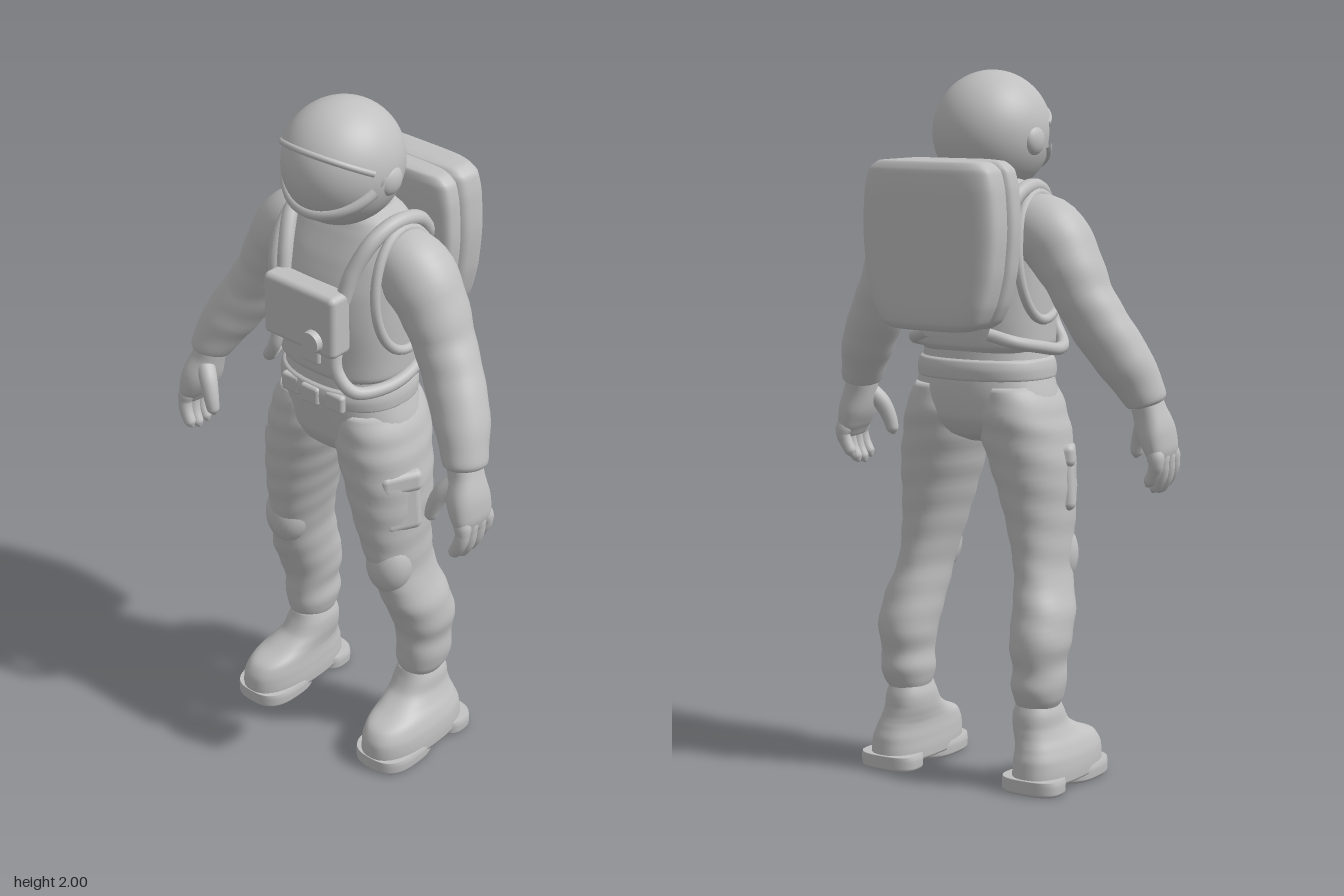
import * as THREE from 'three';
import { RoundedBoxGeometry } from 'three/addons/geometries/RoundedBoxGeometry.js';

const V = (a) => new THREE.Vector3(a[0], a[1], a[2]);

// Smooth skin over sections [x, y, z, halfWidth, halfDepth], listed from the top down.
// flat keeps rings level, p squares off the cross-section, ripple adds cloth folds.
function loft(sections, { n = 40, steps = 5, p = 2, flat = true, ripple = 0 } = {}) {
  const path = new THREE.CatmullRomCurve3(sections.map(V));
  const size = new THREE.CatmullRomCurve3(sections.map((s) => new THREE.Vector3(s[3], s[4], 0)));
  const rings = (sections.length - 1) * steps;
  const pos = [], idx = [];
  const Z = new THREE.Vector3(0, 0, 1);
  const bend = (c) => Math.sign(c) * Math.abs(c) ** (2 / p);
  for (let i = 0; i <= rings; i++) {
    const t = i / rings, c = path.getPoint(t), r = size.getPoint(t);
    const T = flat ? new THREE.Vector3(0, -1, 0) : path.getTangent(t);
    const side = new THREE.Vector3().crossVectors(Z, T).normalize();
    const depth = new THREE.Vector3().crossVectors(T, side);
    for (let j = 0; j < n; j++) {
      const a = (j / n) * Math.PI * 2;
      const k = 1 + ripple * Math.sin(c.y * 75 + 2 * Math.sin(a + 1));
      const q = c.clone().addScaledVector(side, bend(Math.cos(a)) * r.x * k)
        .addScaledVector(depth, bend(Math.sin(a)) * r.y * k);
      pos.push(q.x, q.y, q.z);
      if (i < rings) {
        const A = i * n + j, B = i * n + (j + 1) % n;
        idx.push(A, B, A + n, B, B + n, A + n);
      }
    }
  }
  const top = pos.length / 3, last = rings * n;
  pos.push(...sections[0].slice(0, 3), ...sections[sections.length - 1].slice(0, 3));
  for (let j = 0; j < n; j++) {
    const k = (j + 1) % n;
    idx.push(top, k, j, top + 1, last + j, last + k);
  }
  const g = new THREE.BufferGeometry();
  g.setAttribute('position', new THREE.Float32BufferAttribute(pos, 3));
  g.setIndex(idx);
  g.computeVertexNormals();
  return g;
}

const tube = (pts, r, closed = false) =>
  new THREE.TubeGeometry(new THREE.CatmullRomCurve3(pts.map(V), closed), 48, r, 12, closed);

const ball = (x, y, z, a, b, c) => new THREE.SphereGeometry(1, 32, 24).scale(a, b, c).translate(x, y, z);

const box = (x, y, z, w, h, d, r) => new RoundedBoxGeometry(w, h, d, 4, r).translate(x, y, z);

// Copy across x = 0 with the triangle order reversed
function mirrored(geo) {
  const g = geo.clone().scale(-1, 1, 1);
  if (!g.index) g.setIndex([...Array(g.attributes.position.count).keys()]);
  const a = g.index.array;
  for (let i = 0; i < a.length; i += 3) [a[i], a[i + 1]] = [a[i + 1], a[i]];
  return g;
}

export function createModel() {
  const model = new THREE.Group();
  model.name = 'astronaut';
  const suit = new THREE.MeshStandardMaterial({ color: 0xc0c0c0 });
  suit.name = 'suit grey';
  const add = (name, geo) => {
    const m = new THREE.Mesh(geo, suit);
    m.name = name;
    model.add(m);
  };
  const pair = (name, geo) => {
    add('left ' + name, geo);
    add('right ' + name, mirrored(geo));
  };

  // Helmet: shell open at the visor, poles at the ears
  const C = [0, 1.828, 0.082], R = [0.163, 0.172, 0.178];
  const lune = (start, len, k) => new THREE.SphereGeometry(1, 64, 40, start, len)
    .rotateZ(-Math.PI / 2).scale(R[0] * k, R[1] * k, R[2] * k).translate(...C);
  const upper = 1.08, lower = 2.2;
  add('helmet shell', lune(lower, Math.PI * 2 - (lower - upper), 1));
  add('visor', lune(0, Math.PI * 2, 0.955));
  const rim = (phi, k) => Array.from({ length: 15 }, (_, i) => {
    const th = 0.3 + (i / 14) * (Math.PI - 0.6);
    return [C[0] + R[0] * k * Math.cos(th), C[1] + R[1] * k * Math.cos(phi) * Math.sin(th),
      C[2] + R[2] * k * Math.sin(phi) * Math.sin(th)];
  });
  add('visor brim', tube(rim(upper, 0.975), 0.009));
  add('chin guard', tube(rim(lower + 0.04, 0.965), 0.016));
  pair('ear pod', ball(0.148, 1.808, 0.06, 0.024, 0.042, 0.042));

  // Torso
  add('neck', loft([[0, 1.76, 0.04, 0.1, 0.1], [0, 1.7, 0.03, 0.105, 0.095], [0, 1.64, 0.03, 0.12, 0.1]]));
  add('vest', loft([
    [0, 1.705, 0.025, 0.1, 0.08], [0, 1.685, 0.027, 0.145, 0.095], [0, 1.65, 0.03, 0.18, 0.11],
    [0, 1.58, 0.037, 0.2, 0.138], [0, 1.5, 0.047, 0.2, 0.157], [0, 1.4, 0.052, 0.2, 0.162],
    [0, 1.3, 0.05, 0.197, 0.16], [0, 1.245, 0.052, 0.195, 0.157], [0, 1.225, 0.053, 0.175, 0.14],
  ], { p: 2.5 }));
  add('hips', loft([
    [0, 1.25, 0.055, 0.178, 0.142], [0, 1.17, 0.055, 0.19, 0.152], [0, 1.1, 0.05, 0.212, 0.152],
    [0, 1.04, 0.05, 0.222, 0.145], [0, 0.99, 0.055, 0.15, 0.115], [0, 0.965, 0.055, 0.05, 0.06],
  ], { p: 2.3 }));
  add('belt', loft([
    [0, 1.207, 0.055, 0.18, 0.145], [0, 1.2, 0.055, 0.193, 0.157], [0, 1.175, 0.055, 0.199, 0.163],
    [0, 1.15, 0.055, 0.199, 0.16], [0, 1.142, 0.055, 0.185, 0.145],
  ], { p: 2.3 }));
  for (const x of [-0.08, 0, 0.08]) {
    add('belt buckle', box(x, 1.17, 0.212 - Math.abs(x) * 0.13, 0.065, 0.055, 0.025, 0.01));
  }
  add('chest tab', box(0, 1.3, 0.208, 0.07, 0.06, 0.025, 0.01));

  // Chest control box
  add('chest box', box(0, 1.43, 0.225, 0.255, 0.185, 0.078, 0.018));
  add('chest box knob', new THREE.CylinderGeometry(0.03, 0.034, 0.03, 32)
    .rotateX(Math.PI / 2).translate(0.06, 1.38, 0.268));
  pair('hose', tube([[0.1, 1.36, 0.22], [0.115, 1.29, 0.232], [0.155, 1.235, 0.212],
    [0.193, 1.225, 0.12], [0.197, 1.24, 0.02], [0.16, 1.26, -0.07], [0.1, 1.28, -0.1]], 0.018));
  pair('shoulder strap', tube([[0.105, 1.49, 0.2], [0.12, 1.57, 0.175], [0.145, 1.65, 0.125],
    [0.158, 1.682, 0.05], [0.16, 1.665, -0.04], [0.15, 1.6, -0.1]], 0.022));
  pair('armhole trim', tube(Array.from({ length: 16 }, (_, i) => {
    const a = (i / 16) * Math.PI * 2;
    return [0.186 - 0.012 * Math.sin(a), 1.49 + 0.175 * Math.sin(a), 0.037 + 0.122 * Math.cos(a)];
  }), 0.014, true));

  // Backpack in two padded layers
  const pack = (z, d) => loft([
    [0, 1.762, z, 0.12, d * 0.4], [0, 1.758, z, 0.165, d * 0.72], [0, 1.735, z, 0.196, d * 0.92],
    [0, 1.68, z, 0.209, d], [0, 1.58, z, 0.215, d], [0, 1.46, z, 0.205, d], [0, 1.37, z, 0.182, d],
    [0, 1.32, z, 0.155, d * 0.92], [0, 1.302, z, 0.125, d * 0.7], [0, 1.298, z, 0.09, d * 0.4],
  ], { p: 4, n: 64 });
  add('backpack front layer', pack(-0.135, 0.045));
  add('backpack rear layer', pack(-0.217, 0.064));

  // Arms
  pair('arm', loft([
    [0.13, 1.585, 0.03, 0.085, 0.09], [0.215, 1.55, 0.032, 0.104, 0.105], [0.28, 1.47, 0.033, 0.09, 0.1],
    [0.325, 1.38, 0.038, 0.08, 0.09], [0.37, 1.3, 0.053, 0.081, 0.083], [0.425, 1.21, 0.083, 0.076, 0.08],
    [0.46, 1.14, 0.11, 0.064, 0.07], [0.475, 1.1, 0.122, 0.056, 0.064], [0.477, 1.09, 0.124, 0.04, 0.05],
  ], { flat: false, ripple: 0.012 }));

  // Hands, palms facing the thighs
  pair('palm', loft([
    [0.468, 1.12, 0.12, 0.04, 0.048], [0.482, 1.07, 0.127, 0.043, 0.052], [0.5, 1.01, 0.137, 0.045, 0.068],
    [0.515, 0.96, 0.14, 0.034, 0.068], [0.52, 0.925, 0.142, 0.018, 0.05],
  ], { flat: false, p: 2.4 }));
  [[0.09, 0.025], [0.122, 0.005], [0.156, 0], [0.187, 0.012]].forEach(([z, up], i) => {
    pair('finger ' + (i + 1), loft([
      [0.51, 0.985, z * 0.8 + 0.028, 0.021, 0.02], [0.524, 0.93, z, 0.021, 0.02],
      [0.518, 0.885 + up, z + 0.004, 0.02, 0.019], [0.5, 0.852 + up, z + 0.006, 0.017, 0.017],
      [0.492, 0.838 + up, z + 0.006, 0.004, 0.004],
    ], { flat: false, n: 16 }));
  });
  pair('thumb', loft([
    [0.475, 1.06, 0.15, 0.028, 0.028], [0.44, 1.02, 0.172, 0.026, 0.026], [0.42, 0.975, 0.183, 0.022, 0.022],
    [0.411, 0.94, 0.186, 0.018, 0.018], [0.408, 0.925, 0.186, 0.004, 0.004],
  ], { flat: false, n: 16 }));

  // Legs
  pair('leg', loft([
    [0.11, 1.13, 0.05, 0.085, 0.135], [0.118, 1.06, 0.05, 0.112, 0.15], [0.127, 1.0, 0.055, 0.119, 0.146],
    [0.15, 0.9, 0.06, 0.113, 0.135], [0.166, 0.8, 0.063, 0.096, 0.125], [0.18, 0.7, 0.058, 0.08, 0.115],
    [0.195, 0.6, 0.042, 0.069, 0.108], [0.215, 0.5, 0.012, 0.08, 0.108], [0.221, 0.41, -0.018, 0.08, 0.1],
    [0.22, 0.345, -0.02, 0.069, 0.088], [0.22, 0.3, -0.022, 0.072, 0.09], [0.217, 0.255, -0.02, 0.064, 0.08],
    [0.215, 0.225, -0.018, 0.05, 0.065],
  ], { ripple: 0.015, p: 2.15 }));
  pair('knee pad', ball(0.195, 0.645, 0.105, 0.068, 0.095, 0.066));
  const onThigh = (g) => g.rotateY(-0.5).rotateZ(0.08).translate(0.226, 0.87, 0.1);
  pair('thigh pocket', onThigh(box(0, 0, 0, 0.06, 0.19, 0.115, 0.022)));
  pair('pocket flap', onThigh(box(0.004, 0.06, 0, 0.066, 0.065, 0.125, 0.02)));

  // Boots
  pair('boot', loft([
    [0.213, 0.25, -0.015, 0.05, 0.07], [0.214, 0.215, -0.014, 0.062, 0.084], [0.216, 0.18, -0.004, 0.065, 0.098],
    [0.224, 0.15, 0.02, 0.07, 0.128], [0.232, 0.125, 0.047, 0.077, 0.164], [0.237, 0.09, 0.053, 0.085, 0.182],
    [0.238, 0.05, 0.052, 0.088, 0.186], [0.238, 0.024, 0.05, 0.087, 0.186],
  ], { p: 2.4 }));
  const sole = (z, d) => loft([[0.238, 0.045, z, 0.088, d], [0.238, 0.03, z, 0.091, d],
    [0.238, 0.008, z, 0.09, d], [0.238, 0, z, 0.084, d - 0.006]], { p: 2.8 });
  pair('front sole', sole(0.13, 0.109));
  pair('heel', sole(-0.08, 0.06));
  return model;
}
